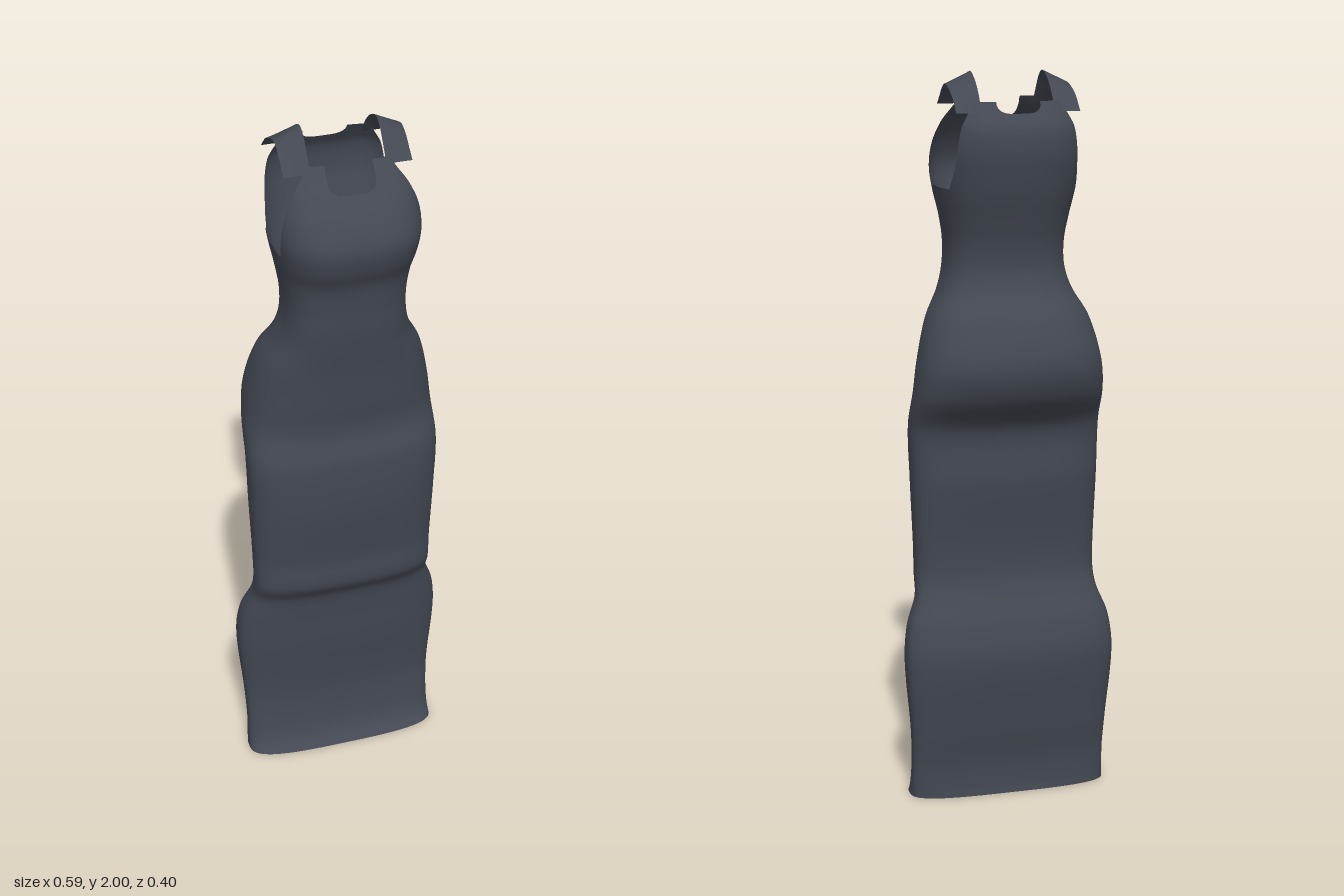
import * as THREE from 'three';

// Cross-sections: height, half width, front z, back z, squareness
const SECTIONS = [
  [0, 0.28, 0.07, -0.08, 3.2],
  [0.03, 0.278, 0.045, -0.077, 3.2],
  [0.1, 0.276, 0.03, -0.08, 3.2],
  [0.2, 0.28, 0.026, -0.1, 3],
  [0.4, 0.295, 0.048, -0.13, 2.8],
  [0.5, 0.285, 0.056, -0.115, 2.8],
  [0.575, 0.258, 0.068, -0.085, 2.8],
  [0.63, 0.254, 0.1, -0.068, 2.8],
  [0.72, 0.255, 0.103, -0.067, 2.8],
  [0.9, 0.261, 0.126, -0.09, 2.7],
  [1.05, 0.265, 0.128, -0.096, 2.6],
  [1.15, 0.26, 0.11, -0.172, 2.5],
  [1.24, 0.249, 0.118, -0.198, 2.5],
  [1.35, 0.22, 0.13, -0.165, 2.5],
  [1.42, 0.182, 0.142, -0.12, 2.6],
  [1.48, 0.163, 0.15, -0.1, 2.8],
  [1.55, 0.16, 0.155, -0.105, 2.8],
  [1.62, 0.17, 0.165, -0.125, 2.8],
  [1.68, 0.182, 0.19, -0.145, 2.9],
  [1.74, 0.19, 0.2, -0.16, 3],
  [1.8, 0.187, 0.178, -0.17, 3.2],
  [1.86, 0.172, 0.135, -0.165, 3.6],
  [1.9, 0.154, 0.097, -0.143, 4],
  [1.93, 0.148, 0.073, -0.124, 4],
];
// Armhole edges: height, front z, back z
const ARMHOLE = [
  [1.7, 0.092, -0.078],
  [1.75, 0.103, -0.108],
  [1.8, 0.104, -0.124],
  [1.86, 0.098, -0.128],
  [1.93, 0.067, -0.117],
];
const ARM_Y = 1.7;

// Smooth interpolation of table rows by their first column
function sample(table, y) {
  const last = table.length - 1;
  let i = 0;
  while (i < last - 1 && y > table[i + 1][0]) i++;
  const p = table[i], q = table[i + 1], h = q[0] - p[0];
  const t = Math.min(1, Math.max(0, (y - p[0]) / h));
  const slope = (k, c) => {
    const a = table[Math.max(0, k - 1)], b = table[Math.min(last, k + 1)];
    return (b[c] - a[c]) / (b[0] - a[0]);
  };
  return p.map((v, c) => {
    const t2 = t * t, t3 = t2 * t;
    return v * (2 * t3 - 3 * t2 + 1) + q[c] * (3 * t2 - 2 * t3)
      + h * (slope(i, c) * (t3 - 2 * t2 + t) + slope(i + 1, c) * (t3 - t2));
  });
}

// Point on the rounded cross-section at a given angle and height
function surfacePoint(angle, y) {
  const [, w, f, b, n] = sample(SECTIONS, y);
  const c = Math.cos(angle), s = Math.sin(angle);
  const r = (Math.abs(c) ** n + Math.abs(s) ** n) ** (-1 / n);
  return [w * r * c, y, (f + b) / 2 + ((f - b) / 2) * r * s];
}

// Angle at which the section reaches the armhole edge
function edgeAngle(y, front) {
  const [, , f, b, n] = sample(SECTIONS, y);
  const z = sample(ARMHOLE, y)[front ? 1 : 2];
  const s = Math.min(0.99, Math.abs(z - (f + b) / 2) / ((f - b) / 2));
  return Math.atan2(s, (1 - s ** n) ** (1 / n));
}

// Grid surface from a point function of u and v, optionally closed around u
function grid(cols, rows, point, closed = false) {
  const pos = [], index = [], stride = closed ? cols : cols + 1;
  for (let j = 0; j <= rows; j++)
    for (let i = 0; i < stride; i++) pos.push(...point(i / cols, j / rows));
  for (let j = 0; j < rows; j++)
    for (let i = 0; i < cols; i++) {
      const a = j * stride + i, b = j * stride + ((i + 1) % stride);
      index.push(a, a + stride, b, b, a + stride, b + stride);
    }
  const g = new THREE.BufferGeometry();
  g.setAttribute('position', new THREE.Float32BufferAttribute(pos, 3));
  g.setIndex(index);
  g.computeVertexNormals();
  return g;
}

export function createModel() {
  const dress = new THREE.Group();
  dress.name = 'dress';
  const fabric = new THREE.MeshStandardMaterial({ color: 0x434852, side: THREE.DoubleSide });
  fabric.name = 'slate fabric';
  const add = (name, geometry) => {
    const mesh = new THREE.Mesh(geometry, fabric);
    mesh.name = name;
    dress.add(mesh);
  };

  // Hem band, then the closed tube of skirt and waist up to the armholes
  const HEM = 0.02;
  add('hem', grid(112, 2, (u, v) => surfacePoint(u * Math.PI * 2, v * HEM), true));
  add('skirtAndWaist', grid(112, 130,
    (u, v) => surfacePoint(u * Math.PI * 2, HEM + v * (ARM_Y - HEM)), true));

  // Front and back bodice panels between armholes, cut to a scooped neckline
  const panel = (front, dip) => grid(72, 28, (u, v) => {
    const angleAt = (y) => {
      const e = edgeAngle(y, front);
      return (front ? 0 : Math.PI) + e + u * (Math.PI - 2 * e);
    };
    const x = Math.abs(surfacePoint(angleAt(1.9), 1.9)[0]);
    const top = 1.927 - dip * (1 - Math.min(1, x / 0.072) ** 4);
    const y = ARM_Y + v * (top - ARM_Y);
    return surfacePoint(angleAt(y), y);
  });
  add('frontBodice', panel(true, 0.062));
  add('backBodice', panel(false, 0.03));

  // Arched shoulder straps, sloping down toward the arm
  const arch = new THREE.CatmullRomCurve3([
    [-0.132, 1.9], [-0.09, 1.955], [-0.05, 1.986], [-0.01, 2],
    [0.02, 1.985], [0.05, 1.948], [0.077, 1.91],
  ].map(([z, y]) => new THREE.Vector3(0, y, z)));
  for (const side of [1, -1]) {
    add(side > 0 ? 'leftStrap' : 'rightStrap', grid(6, 28, (u, v) => {
      const out = side > 0 ? u : 1 - u;
      const p = arch.getPoint(v);
      const drop = 0.032 * out * Math.sin(Math.PI * v);
      return [side * (0.098 + 0.068 * out), p.y - drop, p.z];
    }));
  }
  return dress;
}
